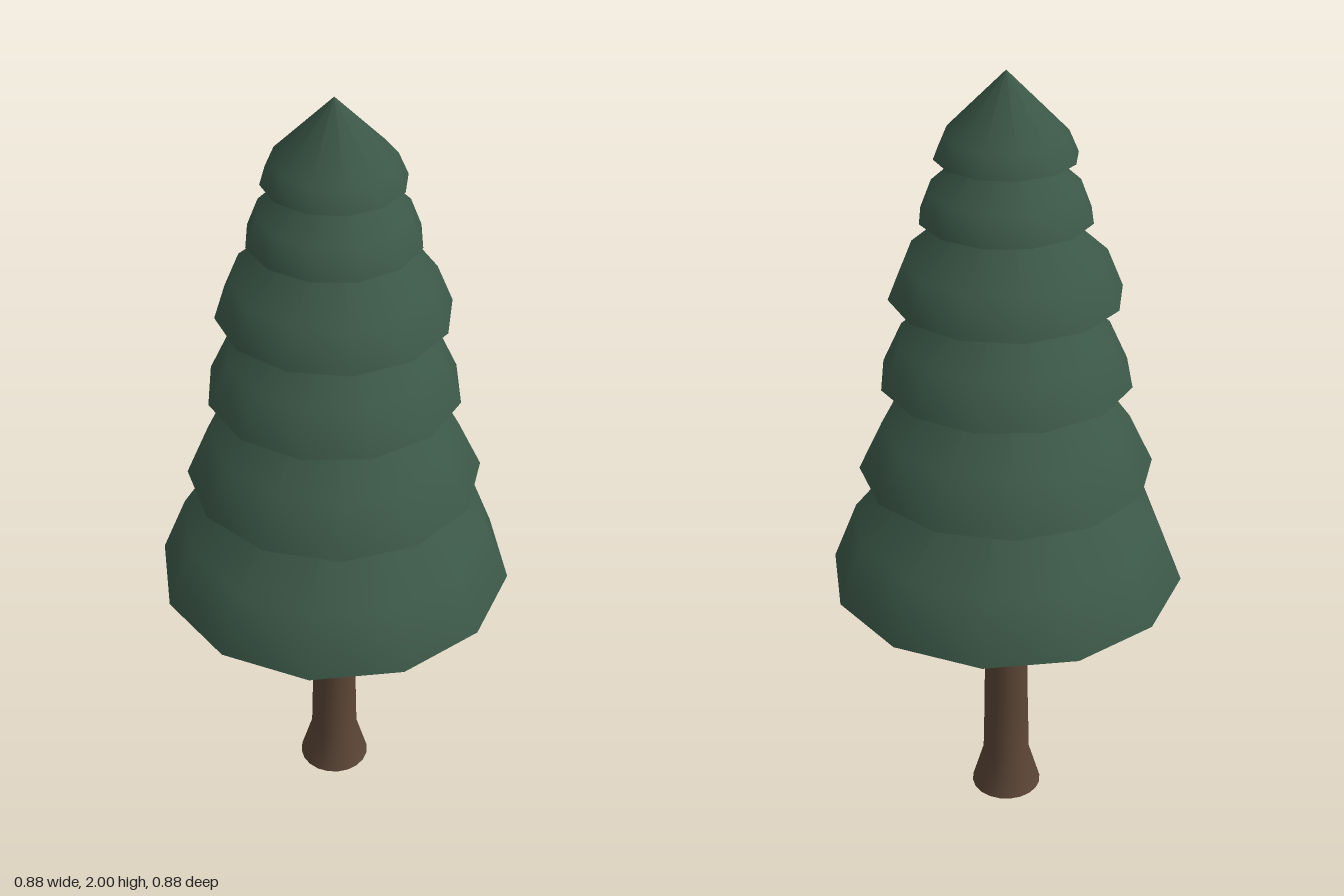
import * as THREE from 'three';

const SIDES = 12;

export function createModel() {
  const tree = new THREE.Group();
  tree.name = 'pineTree';

  const needles = new THREE.MeshStandardMaterial({ color: 0x3b5747, side: THREE.DoubleSide });
  needles.name = 'needleGreen';
  const bark = new THREE.MeshStandardMaterial({ color: 0x5c4637, side: THREE.DoubleSide });
  bark.name = 'barkBrown';

  const add = (name, geometry, material) => {
    const mesh = new THREE.Mesh(geometry, material);
    mesh.name = name;
    tree.add(mesh);
    return mesh;
  };
  const lathe = (points, sides, start = 0) =>
    new THREE.LatheGeometry(points.map(([r, y]) => new THREE.Vector2(r, y)), sides, start);

  // Trunk with a flared foot, open below, running up into the second tier
  add('trunk', lathe([[0.092, 0], [0.062, 0.105], [0.058, 0.28], [0.056, 0.5], [0.052, 1.165]], 20), bark);
  const top = add('trunkTop', new THREE.CircleGeometry(0.052, 20), bark);
  top.rotation.x = -Math.PI / 2;
  top.position.y = 1.165;

  // Foliage skirts, open below: rim radius, rim y, shoulder radius, shoulder y, tip y, twist in degrees
  const tiers = [
    [0.447, 0.69, 0.386, 0.845, 1.18, 10],
    [0.364, 0.995, 0.305, 1.12, 1.395, -9.5],
    [0.31, 1.245, 0.262, 1.35, 1.59, 3.7],
    [0.281, 1.46, 0.242, 1.555, 1.765, -4],
    [0.207, 1.655, 0.18, 1.725, 1.89, 2.8],
    [0.168, 1.8, 0.145, 1.853, 2, -3.4],
  ];
  tiers.forEach(([rimR, rimY, midR, midY, tipY, twist], i) => {
    const start = THREE.MathUtils.degToRad(twist);
    add(`foliageTier${i + 1}`, lathe([[rimR, rimY], [midR, midY], [0, tipY]], SIDES, start), needles);
    // Only the lowest tier is closed underneath
    if (i === 0) {
      const under = new THREE.CircleGeometry(rimR, SIDES);
      under.rotateX(Math.PI / 2);
      under.rotateY(start);
      under.translate(0, rimY, 0);
      add('foliageUnderside', under, needles);
    }
  });

  return tree;
}
